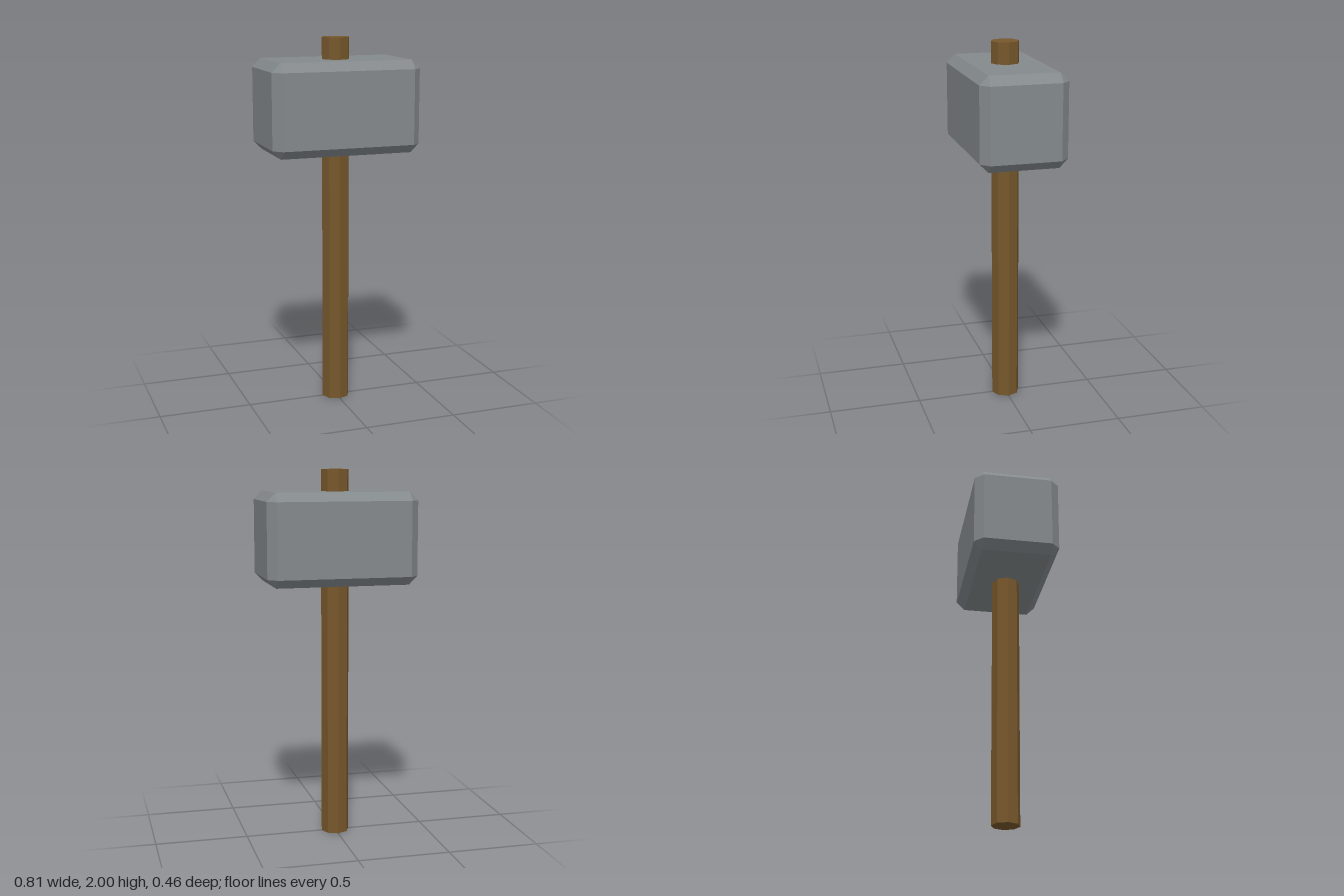
import * as THREE from 'three';
import { ConvexGeometry } from 'three/addons/geometries/ConvexGeometry.js';

// Box with every edge cut at 45 degrees and a triangle at every corner
function chamferedBox(width, height, depth, cut) {
  const half = [width / 2, height / 2, depth / 2];
  const points = [];
  for (const sx of [-1, 1]) for (const sy of [-1, 1]) for (const sz of [-1, 1]) {
    // Each corner becomes three points, one on each adjoining face
    for (let face = 0; face < 3; face++) {
      const c = half.map((h, axis) => (axis === face ? h : h - cut));
      points.push(new THREE.Vector3(sx * c[0], sy * c[1], sz * c[2]));
    }
  }
  return new ConvexGeometry(points);
}

export function createModel() {
  const stone = new THREE.MeshStandardMaterial({ color: 0x84898c });
  stone.name = 'grey stone';
  stone.flatShading = true;
  const wood = new THREE.MeshStandardMaterial({ color: 0x77572c });
  wood.name = 'brown wood';
  wood.flatShading = true;

  const model = new THREE.Group();
  model.name = 'hammer';

  // Eight-sided shaft running right through the head
  const handle = new THREE.Mesh(new THREE.CylinderGeometry(0.076, 0.076, 2, 8), wood);
  handle.name = 'handle';
  handle.position.y = 1;
  model.add(handle);

  // Heavy block with bevelled edges
  const head = new THREE.Mesh(chamferedBox(0.81, 0.49, 0.464, 0.046), stone);
  head.name = 'head';
  head.position.y = 1.64;
  model.add(head);

  return model;
}
